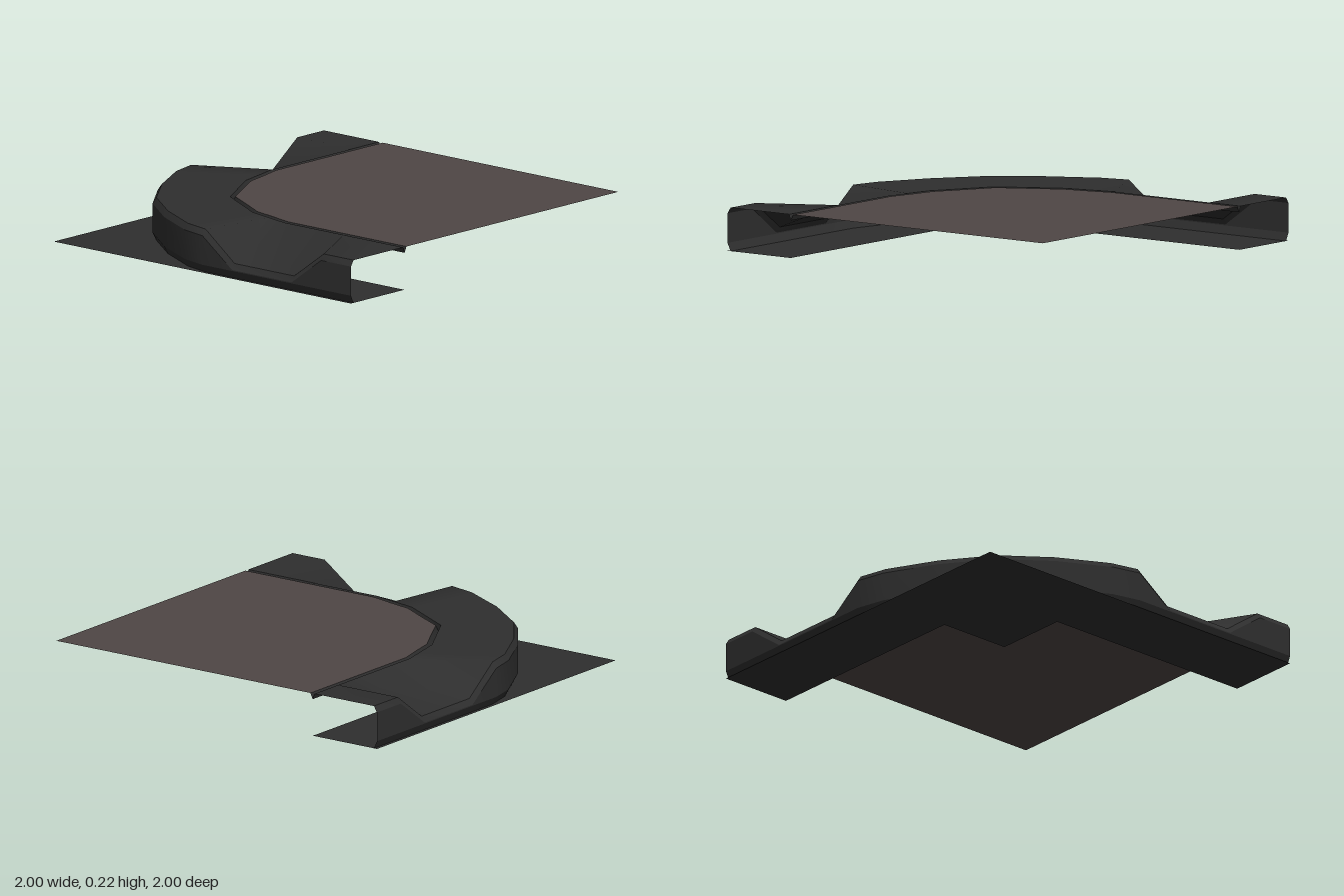
import * as THREE from 'three';

const darkGrey = new THREE.MeshStandardMaterial({ color: 0x2e2e2e, side: THREE.DoubleSide });
darkGrey.name = 'dark grey stone';
const brown = new THREE.MeshStandardMaterial({ color: 0x4f4645, side: THREE.DoubleSide });
brown.name = 'brown paving';

// Stations along half of the kerb: outer x, z, inner x, z, outer edge height
const half = [
  [-1, -1, -0.61, -1, 0.22],
  [-1, -0.8, -0.61, -0.8, 0.22],
  [-1, -0.6, -0.61, -0.6, 0.075],
  [-1, -0.2, -0.61, -0.2, 0.075],
  [-1, 0, -0.58, -0.07, 0.22],
  [-0.965, 0.15, -0.55, 0.065, 0.22],
  [-0.83, 0.41, -0.465, 0.215, 0.22],
  [-0.65, 0.65, -0.375, 0.375, 0.22],
];
// The other half mirrors across the diagonal
const mirrored = half.slice(0, -1).reverse().map(([ox, oz, ix, iz, h]) => [-oz, -ox, -iz, -ix, h]);
const stations = [...half, ...mirrored];

// Point at fraction t from the outer edge to the inner edge
const across = ([ox, oz, ix, iz], t) => [ox + (ix - ox) * t, oz + (iz - oz) * t];

// Cross-section points: fraction across, and height from the outer height h
const profile = [
  [0.05, () => 0],
  [0, () => 0.04],
  [0, (h) => h - 0.03],
  [0.05, (h) => h],
  [1, () => 0.22],
  [1.03, () => 0.19],
  [1.065, () => 0.22],
];

// One smooth strip between two neighbouring cross-section points
function strip(a, b) {
  const pos = [];
  const index = [];
  stations.forEach((s, i) => {
    for (const [t, height] of [a, b]) {
      const [x, z] = across(s, t);
      pos.push(x, height(s[4]), z);
    }
    if (i > 0) {
      const k = 2 * (i - 1);
      index.push(k, k + 2, k + 1, k + 1, k + 2, k + 3);
    }
  });
  const geo = new THREE.BufferGeometry();
  geo.setAttribute('position', new THREE.Float32BufferAttribute(pos, 3));
  geo.setIndex(index);
  geo.computeVertexNormals();
  return geo;
}

// Flat horizontal plate from x, z corners
function plate(points, y) {
  const shape = new THREE.Shape(points.map(([x, z]) => new THREE.Vector2(x, -z)));
  return new THREE.ShapeGeometry(shape).rotateX(-Math.PI / 2).translate(0, y, 0);
}

export function createModel() {
  const model = new THREE.Group();
  model.name = 'cornerTile';
  const add = (parent, name, geo, mat) => {
    const mesh = new THREE.Mesh(geo, mat);
    mesh.name = name;
    parent.add(mesh);
  };

  // Curved kerb with a dipped ramp on each arm
  const kerb = new THREE.Group();
  kerb.name = 'kerb';
  model.add(kerb);
  const names = ['lowerBevel', 'outerWall', 'upperBevel', 'kerbTop', 'grooveOuter', 'grooveInner'];
  names.forEach((name, i) => add(kerb, name, strip(profile[i], profile[i + 1]), darkGrey));

  // Raised paving inside the groove
  const edge = stations.map((s) => across(s, 1.065));
  add(model, 'paving', plate([...edge, [1, -1]], 0.22), brown);

  // Stepped ground around the outside corner
  const ground = [[-1, -1], [-1, 1], [1, 1], [1, 0.6], [-0.2, 0.6], [-0.2, 0.2], [-0.6, 0.2], [-0.6, -1]];
  add(model, 'ground', plate(ground, 0), darkGrey);

  return model;
}
